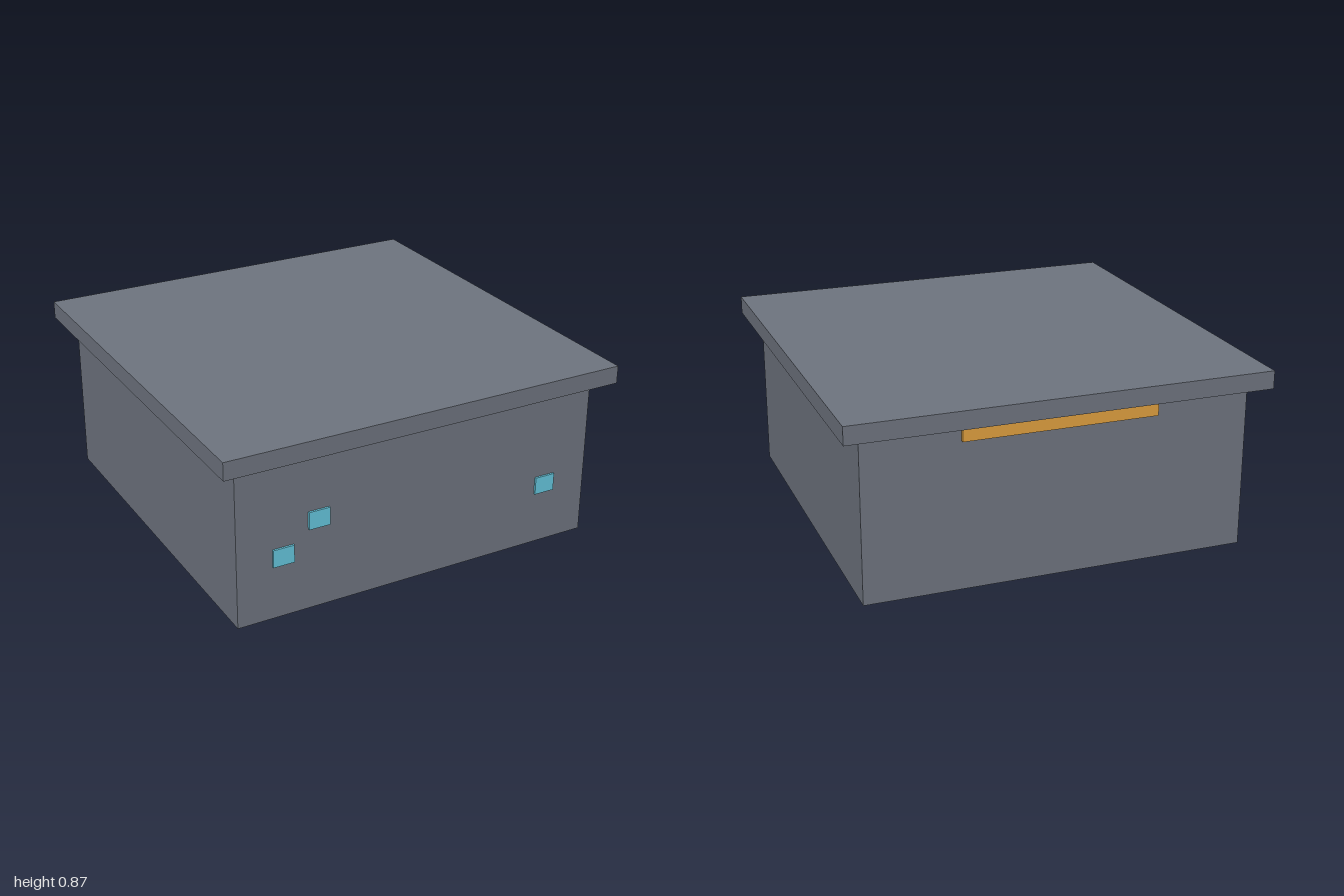
import * as THREE from 'three';

export function createModel() {
  const model = new THREE.Group();
  const slate = new THREE.MeshStandardMaterial({ color: 0x6f7580 });
  const glass = new THREE.MeshStandardMaterial({ color: 0x67c8df });
  const amber = new THREE.MeshStandardMaterial({ color: 0xe0a040 });

  // Box placed by its centre
  function addBox(name, size, centre, material) {
    const mesh = new THREE.Mesh(new THREE.BoxGeometry(...size), material);
    mesh.name = name;
    mesh.position.set(...centre);
    model.add(mesh);
  }

  // Main block and overhanging roof slab
  const wall = 0.914, wallTop = 0.787, roofTop = 0.873;
  addBox('body', [wall * 2, wallTop, wall * 2], [0, wallTop / 2, 0], slate);
  addBox('roof', [2, roofTop - wallTop, 2], [0, (roofTop + wallTop) / 2, 0], slate);

  // Small windows standing slightly proud of the front wall
  for (const [x, y] of [[-0.69, 0.305], [-0.515, 0.445], [0.685, 0.305]]) {
    addBox('window', [0.103, 0.086, 0.02], [x, y, wall], glass);
  }

  // Light strip under the rear eave
  addBox('rearLightStrip', [0.92, 0.06, 0.046], [0, 0.737, -wall], amber);

  return model;
}
